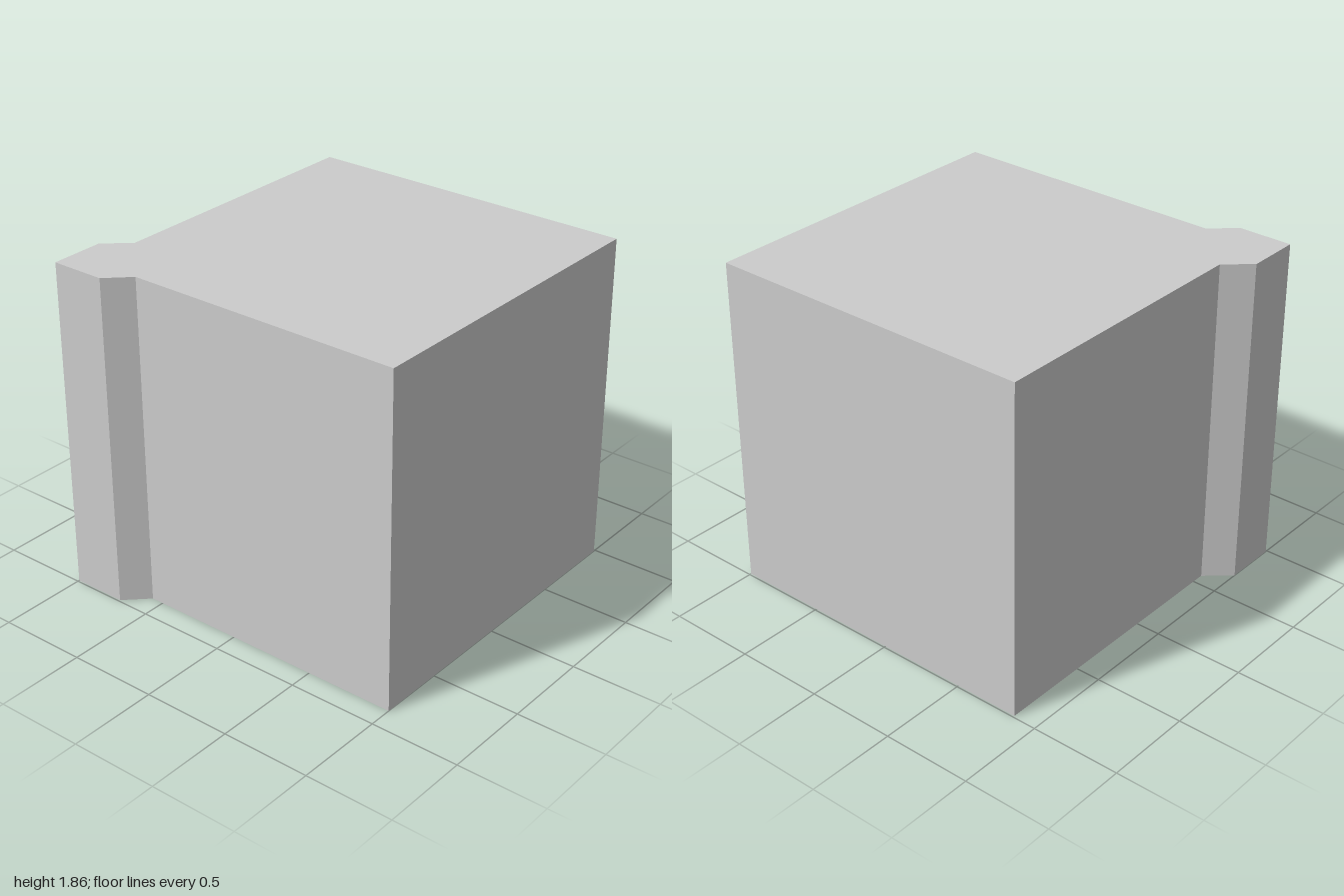
import * as THREE from 'three';

const HEIGHT = 1.86;

// Plan outline as [x, z]: a square block with a chamfered pilaster on its back right corner
const PLAN = [
  [-0.87, 1], [0.99, 1], [0.99, -0.865],
  [-0.57, -0.865], [-0.69, -1], [-0.99, -1], [-0.99, -0.695], [-0.87, -0.57],
];

export function createModel() {
  const group = new THREE.Group();
  group.name = 'cornerBlock';

  // Extrude the plan upwards; the shape's y axis becomes -z
  const shape = new THREE.Shape(PLAN.map(([x, z]) => new THREE.Vector2(x, -z)));
  const geometry = new THREE.ExtrudeGeometry(shape, { depth: HEIGHT, bevelEnabled: false });
  geometry.rotateX(-Math.PI / 2);

  const block = new THREE.Mesh(
    geometry,
    new THREE.MeshStandardMaterial({ color: 0xcccccc, flatShading: true }),
  );
  block.name = 'blockWithCornerPilaster';
  group.add(block);
  return group;
}
